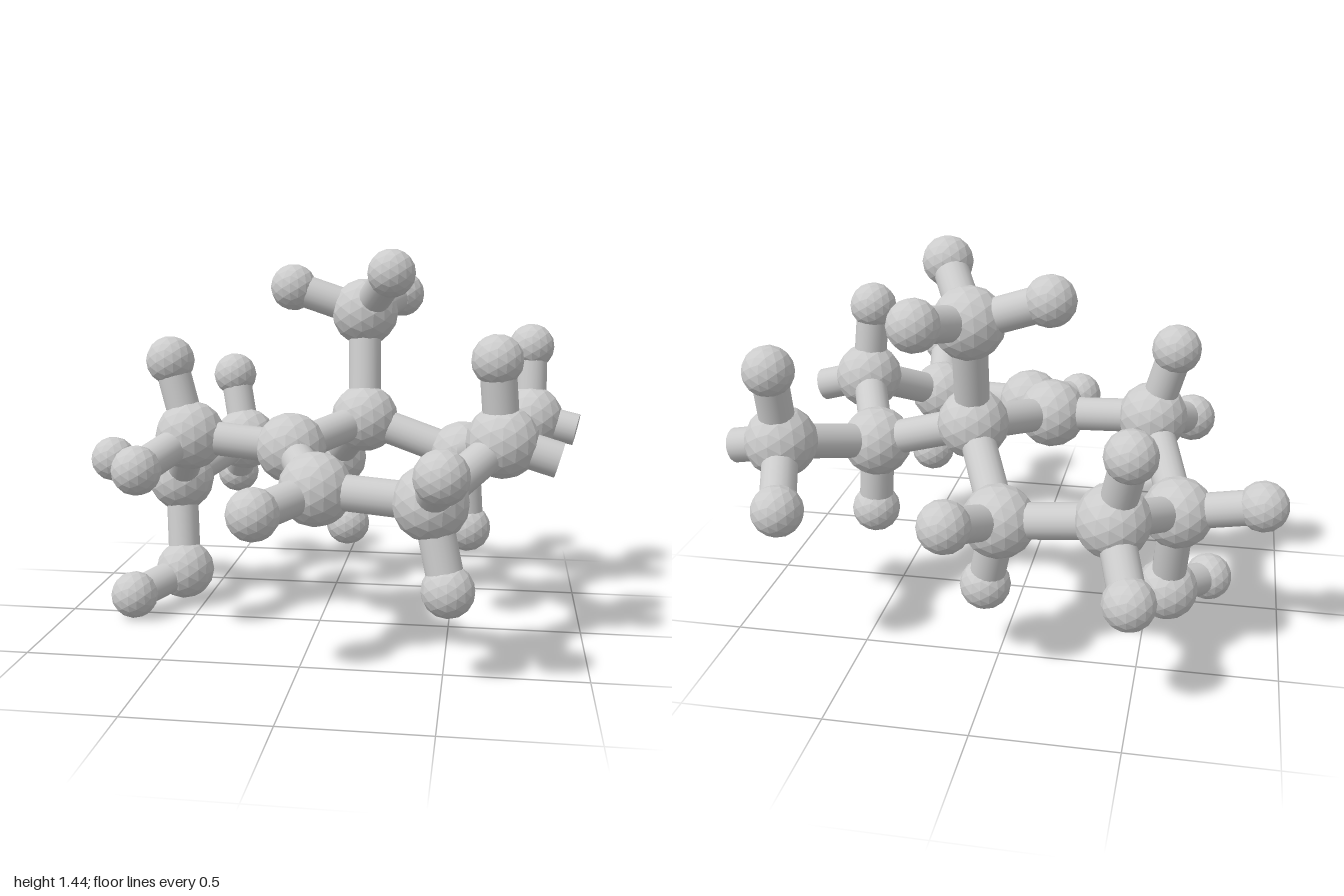
import * as THREE from 'three';

const CARBON = 0.132, OXYGEN = 0.118, HYDROGEN = 0.092, BOND = 0.064;

// Heavy atoms: position, then the hydrogens attached to each
const atoms = {
  hydroxylCarbon: { p: [-0.61, 0.51, -0.245], h: [[-0.91, 0.575, -0.28]] },
  leftBackCarbon: { p: [-0.41, 0.62, -0.58], h: [[-0.47, 0.89, -0.66], [-0.49, 0.43, -0.79]] },
  backCarbon: { p: [-0.01, 0.56, -0.53], h: [[0.05, 0.285, -0.485], [0.12, 0.65, -0.785]] },
  leftFrontCarbon: { p: [-0.485, 0.75, 0.08], h: [[-0.565, 1.03, 0.05], [-0.625, 0.66, 0.33]] },
  lowerFusionCarbon: { p: [-0.09, 0.72, 0.125], h: [] },
  upperFusionCarbon: { p: [0.15, 0.785, -0.2], h: [] },
  frontCarbon: { p: [0.05, 0.64, 0.45], h: [[-0.125, 0.6, 0.68]] },
  rightFrontCarbon: { p: [0.45, 0.625, 0.535], h: [[0.515, 0.337, 0.583], [0.495, 0.765, 0.785]] },
  rightCarbon: { p: [0.685, 0.785, 0.245], h: [[0.66, 1.075, 0.267]] },
  innerRightCarbon: { p: [0.54, 0.66, -0.135], h: [[0.56, 0.375, -0.125]] },
  branchCarbon: { p: [0.8, 0.762, -0.44], h: [[0.8, 1.047, -0.505], [0.73, 0.61, -0.69]] },
  methylCarbon: { p: [0.138, 1.195, -0.3], h: [[-0.15, 1.29, -0.308], [0.26, 1.357, -0.082], [0.265, 1.253, -0.553]] },
  oxygen: { p: [-0.58, 0.148, -0.158], r: OXYGEN, h: [[-0.73, 0.1, 0.055]] },
};

// Bonds of the two fused rings and their side groups
const bonds = [
  ['hydroxylCarbon', 'leftBackCarbon'], ['leftBackCarbon', 'backCarbon'],
  ['backCarbon', 'upperFusionCarbon'], ['upperFusionCarbon', 'lowerFusionCarbon'],
  ['lowerFusionCarbon', 'leftFrontCarbon'], ['leftFrontCarbon', 'hydroxylCarbon'],
  ['lowerFusionCarbon', 'frontCarbon'], ['frontCarbon', 'rightFrontCarbon'],
  ['rightFrontCarbon', 'rightCarbon'], ['rightCarbon', 'innerRightCarbon'],
  ['innerRightCarbon', 'upperFusionCarbon'], ['innerRightCarbon', 'branchCarbon'],
  ['upperFusionCarbon', 'methylCarbon'], ['hydroxylCarbon', 'oxygen'],
];

// Bonds that end free in the air
const openBonds = [
  ['rightCarbon', [0.883, 0.728, 0.262]],
  ['branchCarbon', [0.985, 0.722, -0.413]],
];

export function createModel() {
  const model = new THREE.Group();
  model.name = 'molecule';
  const material = new THREE.MeshStandardMaterial({ color: 0xcccccc, flatShading: true });
  const smooth = new THREE.MeshStandardMaterial({ color: 0xcccccc });
  const ball = new THREE.IcosahedronGeometry(1, 2);

  const addAtom = (name, p, r) => {
    const mesh = new THREE.Mesh(ball, material);
    mesh.name = name;
    mesh.position.set(...p);
    mesh.scale.setScalar(r);
    model.add(mesh);
  };

  const addBond = (name, a, b) => {
    const start = new THREE.Vector3(...a), end = new THREE.Vector3(...b);
    const dir = end.clone().sub(start);
    const mesh = new THREE.Mesh(new THREE.CylinderGeometry(BOND, BOND, dir.length(), 20), smooth);
    mesh.name = name;
    mesh.position.copy(start).add(end).multiplyScalar(0.5);
    mesh.quaternion.setFromUnitVectors(new THREE.Vector3(0, 1, 0), dir.normalize());
    model.add(mesh);
  };

  for (const [name, { p, r = CARBON, h }] of Object.entries(atoms)) {
    addAtom(name, p, r);
    for (const q of h) {
      addAtom('hydrogen', q, HYDROGEN);
      addBond('hydrogenBond', p, q);
    }
  }
  for (const [a, b] of bonds) addBond('bond', atoms[a].p, atoms[b].p);
  for (const [a, end] of openBonds) addBond('openBond', atoms[a].p, end);

  return model;
}
